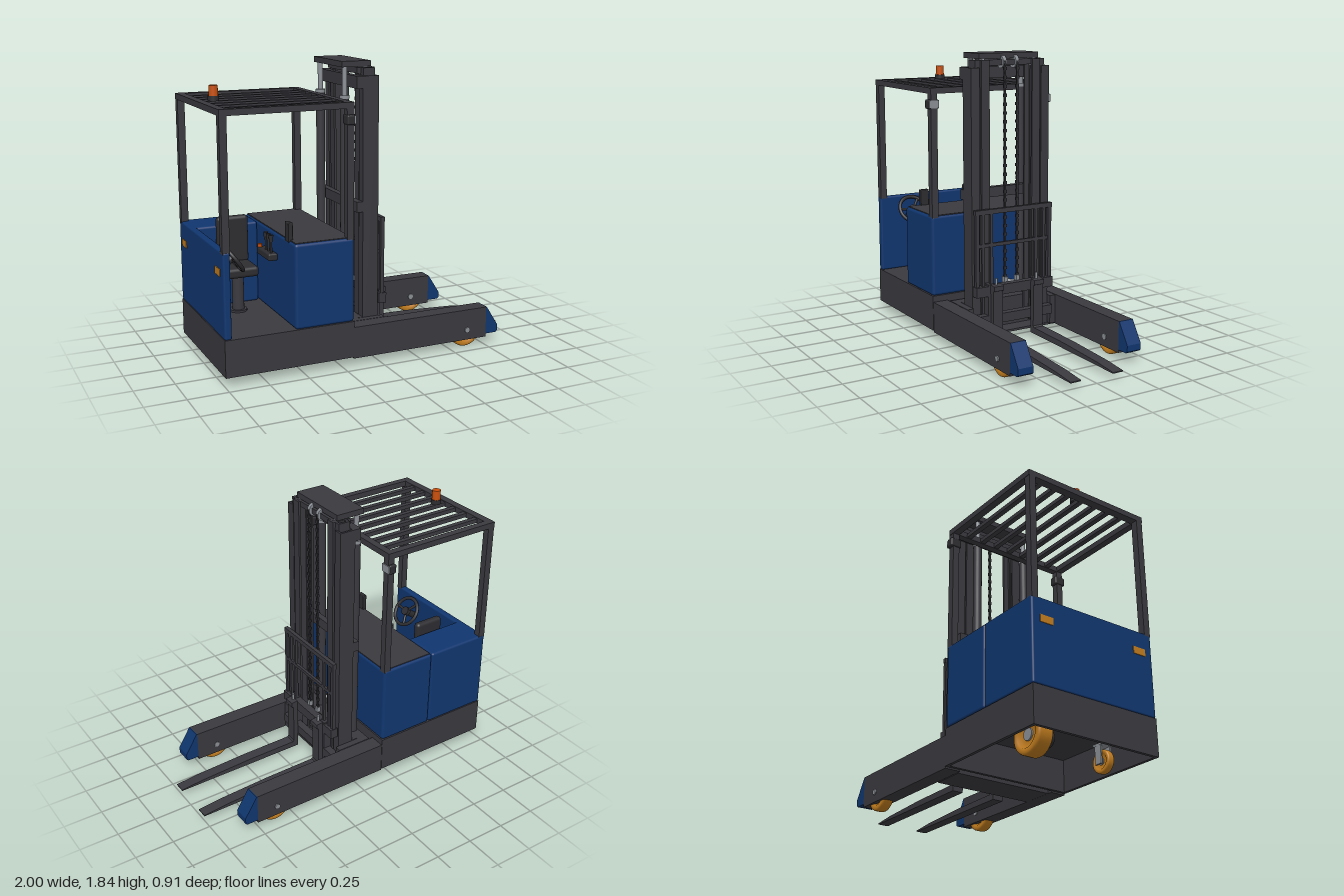
import * as THREE from 'three';
import { mergeGeometries } from 'three/addons/utils/BufferGeometryUtils.js';
import { RoundedBoxGeometry } from 'three/addons/geometries/RoundedBoxGeometry.js';

const paint = (name, color) => Object.assign(new THREE.MeshStandardMaterial({ color }), { name });

export function createModel() {
  const steel = paint('dark steel', 0x3a393f);
  const blue = paint('body blue', 0x10366f);
  const black = paint('trim black', 0x2d2d31);
  const silver = paint('bare metal', 0x8b9096);
  const amber = paint('amber tyre', 0xc07c1e);
  const orange = paint('beacon orange', 0xc8500c);

  const model = new THREE.Group();
  model.name = 'reachTruck';
  let parent = model;
  const group = (name) => {
    parent = new THREE.Group();
    parent.name = name;
    model.add(parent);
  };
  const add = (name, geo, mat, x = 0, y = 0, z = 0) => {
    const m = new THREE.Mesh(geo, mat);
    m.name = name;
    m.position.set(x, y, z);
    parent.add(m);
    return m;
  };
  // Box given by its limits; r rounds the edges
  const box = (name, mat, x0, x1, y0, y1, z0, z1, r = 0) => add(name,
    r ? new RoundedBoxGeometry(x1 - x0, y1 - y0, z1 - z0, 3, r) : new THREE.BoxGeometry(x1 - x0, y1 - y0, z1 - z0),
    mat, (x0 + x1) / 2, (y0 + y1) / 2, (z0 + z1) / 2);
  // Same box on both sides of the centre plane
  const pair = (name, mat, x0, x1, y0, y1, z0, z1, r) => {
    box(name + 'Left', mat, x0, x1, y0, y1, z0, z1, r);
    box(name + 'Right', mat, x0, x1, y0, y1, -z1, -z0, r);
  };
  // Cylinder between two points
  const rod = (name, mat, a, b, r, r2 = r) => {
    const p = new THREE.Vector3(...a), q = new THREE.Vector3(...b), d = q.clone().sub(p);
    const m = add(name, new THREE.CylinderGeometry(r2, r, d.length(), 24), mat);
    m.position.copy(p.add(q).multiplyScalar(0.5));
    m.quaternion.setFromUnitVectors(new THREE.Vector3(0, 1, 0), d.normalize());
    return m;
  };
  const sideProfile = (name, mat, pts, z0, z1) => add(name, new THREE.ExtrudeGeometry(
    new THREE.Shape(pts.map((p) => new THREE.Vector2(...p))), { depth: z1 - z0, bevelEnabled: false }), mat, 0, 0, z0);
  const wheel = (name, x, z, r, w) => {
    const h = w / 2, b = r * 0.12;
    const pts = [[r * 0.3, -h * 0.6], [r * 0.6, -h * 0.6], [r * 0.68, -h], [r - b, -h], [r - b * 0.3, -h + b * 0.3], [r, -h + b]];
    const full = [...pts, ...pts.map(([a, y]) => [a, -y]).reverse()];
    const m = add(name, new THREE.LatheGeometry(full.map((p) => new THREE.Vector2(...p)), 40), amber, x, r, z);
    m.rotation.x = Math.PI / 2;
    rod(name + 'Hub', silver, [x, r, z - h * 0.8], [x, r, z + h * 0.8], r * 0.31);
  };

  // Chassis, open underneath
  group('chassis');
  box('deck', steel, -1, -0.18, 0.265, 0.29, -0.44, 0.44);
  pair('sideSkirt', steel, -1, -0.18, 0.06, 0.265, 0.42, 0.44);
  box('rearSkirt', steel, -1, -0.98, 0.06, 0.265, -0.42, 0.42);
  box('frontSkirt', steel, -0.2, -0.18, 0.06, 0.265, -0.42, 0.42);

  // Support legs with blue noses
  group('legs');
  pair('leg', steel, -0.18, 0.76, 0.05, 0.25, 0.335, 0.437);
  for (const s of [-1, 1]) {
    sideProfile('legNose', blue, [[0.76, 0.07], [0.835, 0.07], [0.847, 0.08], [0.847, 0.12], [0.765, 0.25], [0.76, 0.25]],
      s > 0 ? 0.335 : -0.437, s > 0 ? 0.437 : -0.335);
    wheel('legWheel', 0.62, s * 0.386, 0.105, 0.07);
    rod('legAxle', silver, [0.62, 0.115, s * 0.33], [0.62, 0.115, s * 0.445], 0.018);
  }

  // Drive wheel and caster
  group('rearWheels');
  wheel('driveWheel', -0.74, -0.24, 0.118, 0.1);
  rod('driveMotor', black, [-0.74, 0.118, -0.19], [-0.74, 0.118, -0.13], 0.05);
  wheel('casterWheel', -0.74, 0.26, 0.07, 0.045);
  for (const z of [0.226, 0.294]) box('casterFork', silver, -0.765, -0.715, 0.05, 0.165, z - 0.005, z + 0.005);
  box('casterPlate', silver, -0.78, -0.7, 0.16, 0.172, 0.22, 0.3);
  rod('casterStem', silver, [-0.74, 0.17, 0.26], [-0.74, 0.266, 0.26], 0.018);

  // Blue bodywork around the open cab
  group('body');
  box('batteryHousing', blue, -0.56, -0.18, 0.29, 0.812, -0.44, 0.44, 0.018);
  box('housingCover', steel, -0.55, -0.19, 0.8, 0.816, -0.425, 0.425);
  box('backHousing', blue, -0.995, -0.562, 0.29, 0.812, -0.44, -0.2, 0.015);
  box('sideWall', blue, -1, -0.955, 0.29, 0.812, -0.44, 0.44, 0.012);
  for (const z of [-0.34, 0.34]) box('tailLight', amber, -1.004, -0.998, 0.66, 0.705, z - 0.045, z + 0.045);

  // Seat facing the open side
  group('seat');
  box('cushion', black, -0.855, -0.64, 0.525, 0.59, -0.16, 0.045, 0.022);
  box('backrest', black, -0.847, -0.643, 0.575, 0.877, -0.185, -0.135, 0.022);
  rod('pedestal', steel, [-0.748, 0.3, -0.06], [-0.748, 0.53, -0.06], 0.037);
  rod('pedestalBase', steel, [-0.748, 0.29, -0.06], [-0.748, 0.303, -0.06], 0.055);

  // Steering wheel on a tilted column
  group('steering');
  const hub = [-0.875, 0.72, 0.23];
  rod('column', black, [-0.96, 0.657, 0.23], hub, 0.022);
  const steer = new THREE.Group();
  steer.name = 'steeringWheel';
  steer.position.set(...hub);
  steer.quaternion.setFromUnitVectors(new THREE.Vector3(0, 0, 1), new THREE.Vector3(0.81, 0.585, 0).normalize());
  parent.add(steer);
  parent = steer;
  add('rim', new THREE.TorusGeometry(0.098, 0.012, 10, 40), black);
  for (let i = 0; i < 3; i++) {
    const a = i * Math.PI * 2 / 3 + Math.PI / 2;
    rod('spoke', black, [0, 0, 0], [0.098 * Math.cos(a), 0.098 * Math.sin(a), 0], 0.009);
  }
  rod('hubCap', black, [0, 0, -0.012], [0, 0, 0.016], 0.03);

  // Controls beside the seat
  group('controls');
  box('leverConsole', black, -0.62, -0.56, 0.645, 0.69, -0.06, 0.155, 0.01);
  for (const z of [0.03, 0.075, 0.12]) {
    rod('lever', black, [-0.59, 0.68, z], [-0.59, 0.77, z], 0.007);
    rod('leverKnob', black, [-0.59, 0.76, z], [-0.59, 0.8, z], 0.012, 0.015);
  }
  rod('stopButton', orange, [-0.605, 0.69, -0.04], [-0.605, 0.71, -0.04], 0.014);
  box('display', black, -0.562, -0.532, 0.8, 0.92, 0.28, 0.34, 0.005);

  // Overhead guard with bars, lamps and beacon
  group('overheadGuard');
  pair('rearPost', steel, -1, -0.955, 0.8, 1.59, 0.393, 0.437);
  pair('frontPost', steel, -0.225, -0.18, 0.8, 1.59, 0.393, 0.437);
  pair('roofSide', steel, -1, -0.18, 1.588, 1.625, 0.395, 0.44);
  box('roofRear', steel, -1, -0.95, 1.588, 1.625, -0.395, 0.395);
  box('roofFront', steel, -0.225, -0.18, 1.588, 1.625, -0.395, 0.395);
  for (let i = -3; i <= 3; i++) box('roofBar', steel, -0.95, -0.225, 1.592, 1.618, i * 0.104 - 0.022, i * 0.104 + 0.01);
  for (const s of [-1, 1]) {
    const z = s * 0.417;
    box('lampHousing', black, -0.23, -0.18, 1.493, 1.552, z - 0.038, z + 0.038, 0.01);
    box('lampLens', silver, -0.181, -0.174, 1.498, 1.547, z - 0.034, z + 0.034);
  }
  rod('beaconBase', black, [-0.89, 1.62, 0], [-0.89, 1.65, 0], 0.033);
  rod('beacon', orange, [-0.89, 1.65, 0], [-0.89, 1.712, 0], 0.028, 0.027);

  // Sliding mast carrier between the legs
  group('mastCarrier');
  pair('carrierSide', steel, -0.155, 0.08, 0.06, 0.25, 0.288, 0.33);
  box('carrierFloor', steel, -0.155, 0.06, 0.048, 0.062, -0.33, 0.33);
  box('carrierBack', steel, -0.155, -0.09, 0.06, 0.25, -0.288, 0.288);

  // Mast: nested channels, open towards the centre
  group('mast');
  const channel = (name, x0, x1, y0, y1, z0, z1) => {
    pair(name + 'Web', steel, x0, x1, y0, y1, z1 - 0.014, z1);
    pair(name + 'RearFlange', steel, x0, x0 + 0.014, y0, y1, z0, z1 - 0.014);
    pair(name + 'FrontFlange', steel, x1 - 0.014, x1, y0, y1, z0, z1 - 0.014);
  };
  channel('outerRail', -0.05, 0.055, 0.06, 1.755, 0.225, 0.283);
  channel('middleRail', -0.033, 0.045, 0.08, 1.8, 0.19, 0.25);
  channel('innerRail', -0.045, 0.06, 0.1, 1.8, 0.155, 0.213);
  box('topTie', steel, -0.09, -0.05, 1.68, 1.755, -0.283, 0.283);
  box('middleTie', steel, -0.09, -0.05, 0.925, 0.99, -0.283, 0.283);
  box('bottomTie', steel, -0.09, -0.05, 0.06, 0.25, -0.283, 0.283);
  box('innerTie', steel, -0.06, 0.045, 1.765, 1.8, -0.215, 0.215);
  box('crosshead', steel, -0.158, 0.033, 1.805, 1.84, -0.215, 0.215);
  for (const s of [-1, 1]) {
    const z = s * 0.185;
    rod('liftCylinder', steel, [-0.127, 0.06, z], [-0.127, 1.62, z], 0.028);
    rod('cylinderCollar', silver, [-0.127, 1.615, z], [-0.127, 1.635, z], 0.03);
    rod('pistonRod', silver, [-0.127, 1.63, z], [-0.127, 1.81, z], 0.016);
    rod('hosePort', silver, [-0.165, 0.32, s * 0.115], [-0.13, 0.32, s * 0.16], 0.012);
  }

  // Lift chains over their pulleys
  group('chains');
  for (const s of [-1, 1]) {
    const z = s * 0.045;
    const links = [];
    for (let i = 0; i < 50; i++) {
      links.push(new THREE.BoxGeometry(0.012, 0.02, i % 2 ? 0.012 : 0.022).translate(0.058, 0.425 + i * 0.0275, z));
      links.push(new THREE.BoxGeometry(0.008, 0.012, 0.014).translate(0.058, 0.439 + i * 0.0275, z));
    }
    add('chain', mergeGeometries(links), black);
    rod('pulley', silver, [0.022, 1.785, z - 0.012], [0.022, 1.785, z + 0.012], 0.04);
    rod('outerPulley', silver, [0.0, 1.79, s * 0.185 - 0.01], [0.0, 1.79, s * 0.185 + 0.01], 0.035);
    box('chainAnchor', silver, 0.045, 0.072, 0.385, 0.422, z - 0.013, z + 0.013);
  }

  // Fork carriage and load backrest
  group('carriage');
  box('upperPlate', steel, 0.065, 0.115, 0.325, 0.39, -0.283, 0.283);
  box('lowerPlate', steel, 0.065, 0.115, 0.14, 0.2, -0.283, 0.283);
  pair('carriageCheek', steel, 0.062, 0.112, 0.1, 0.4, 0.155, 0.2);
  pair('backrestOuterPost', steel, 0.076, 0.1, 0.39, 0.85, 0.255, 0.28);
  pair('backrestMiddlePost', steel, 0.08, 0.098, 0.39, 0.85, 0.215, 0.235);
  pair('backrestInnerPost', steel, 0.08, 0.098, 0.39, 0.85, 0.155, 0.175);
  box('backrestTop', steel, 0.075, 0.101, 0.85, 0.88, -0.283, 0.283);
  box('backrestRail', steel, 0.08, 0.098, 0.64, 0.662, -0.255, 0.255);

  // Tapered forks with hooked shanks
  group('forks');
  const fork = [[0.115, 0.04], [1, 0.036], [1, 0.043], [0.85, 0.058], [0.5, 0.075], [0.155, 0.08], [0.147, 0.09],
    [0.147, 0.36], [0.16, 0.365], [0.16, 0.395], [0.115, 0.4]];
  for (const z of [0.112, -0.187]) sideProfile('fork', steel, fork, z, z + 0.072);
  for (const z of [0.148, -0.151]) rod('forkPin', silver, [0.125, 0.395, z], [0.125, 0.44, z], 0.008);

  return model;
}
